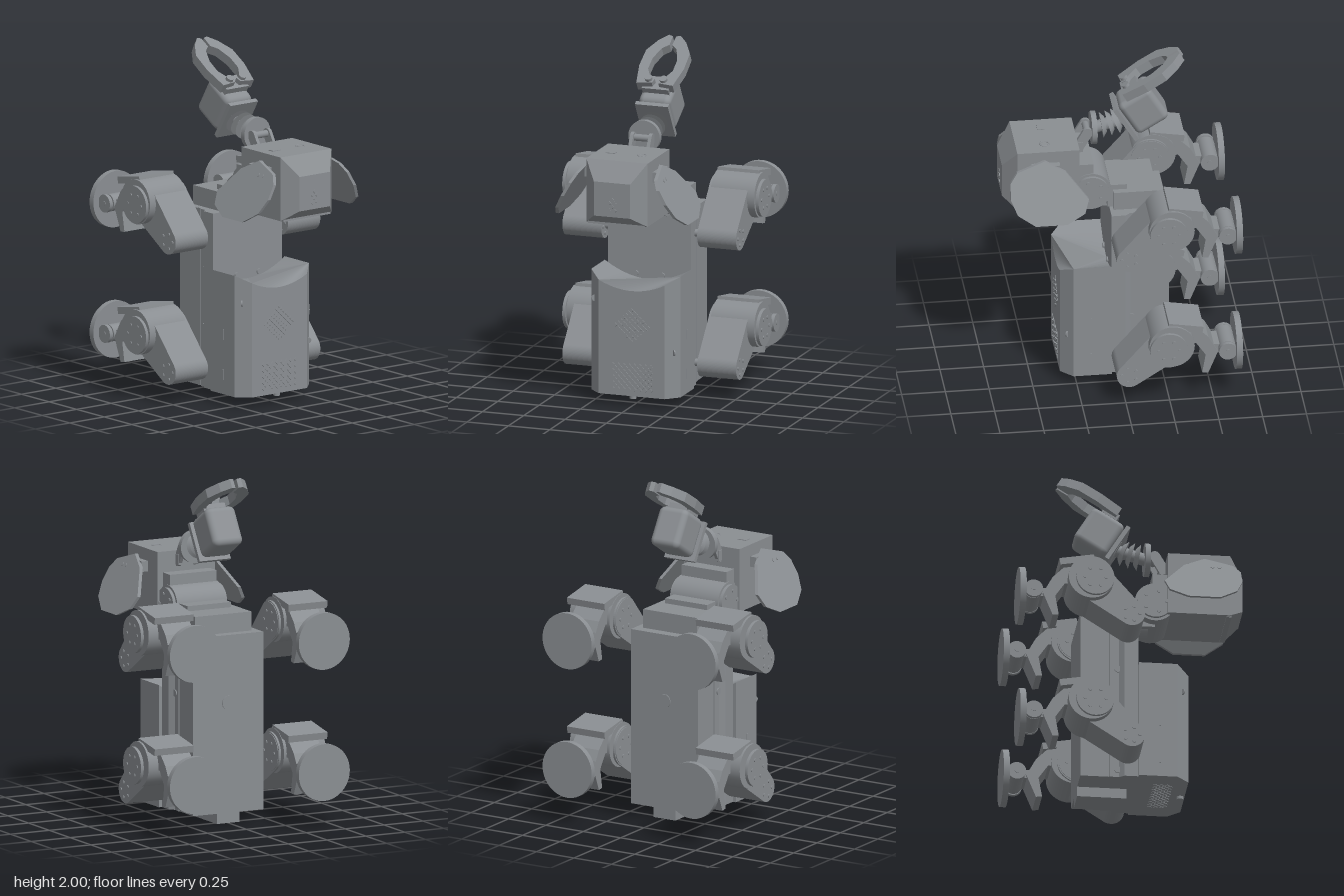
import * as THREE from 'three';
import { mergeGeometries } from 'three/addons/utils/BufferGeometryUtils.js';
import { RoundedBoxGeometry } from 'three/addons/geometries/RoundedBoxGeometry.js';
import { ConvexGeometry } from 'three/addons/geometries/ConvexGeometry.js';

const grey = new THREE.MeshStandardMaterial({ color: 0x8a8e92 });
grey.name = 'grey';

function add(parent, name, geometry, x = 0, y = 0, z = 0) {
  const mesh = new THREE.Mesh(geometry, grey);
  mesh.name = name;
  mesh.position.set(x, y, z);
  parent.add(mesh);
  return mesh;
}
function group(parent, name) {
  const g = new THREE.Group();
  g.name = name;
  parent.add(g);
  return g;
}
const box = (w, h, d) => new THREE.BoxGeometry(w, h, d);
const cylX = (r, w, n = 32) => new THREE.CylinderGeometry(r, r, w, n).rotateZ(Math.PI / 2);
const cylY = (r, w, n = 32) => new THREE.CylinderGeometry(r, r, w, n);
const cylZ = (r, w, n = 32) => new THREE.CylinderGeometry(r, r, w, n).rotateX(Math.PI / 2);
const outline = pts => new THREE.Shape(pts.map(p => new THREE.Vector2(p[0], p[1])));
const extrude = (shape, depth) =>
  new THREE.ExtrudeGeometry(shape, { depth, bevelEnabled: false, curveSegments: 16 });

// Side profile in (z, y), extruded over x0..x1
const sideways = (shape, x0, x1) => extrude(shape, x1 - x0).rotateY(-Math.PI / 2).translate(x1, 0, 0);
// Plan outline in (x, -z), extruded upwards from y0
const upright = (shape, y0, h) => extrude(shape, h).rotateX(-Math.PI / 2).translate(0, y0, 0);

// Rounded link around two circles
function link([ax, ay], r1, [bx, by], r2) {
  const a = Math.atan2(by - ay, bx - ax);
  const b = Math.acos((r1 - r2) / Math.hypot(bx - ax, by - ay));
  return new THREE.Shape()
    .absarc(ax, ay, r1, a + b, a - b + 2 * Math.PI, false)
    .absarc(bx, by, r2, a - b, a + b, false);
}
// Patch of small diamond plates facing +z
function diamonds(cells, s = 0.017) {
  return mergeGeometries(cells.map(([x, y]) =>
    box(s, s, 0.006).rotateZ(Math.PI / 4).translate(x, y, 0)));
}

function makeBody(root) {
  const g = group(root, 'body');
  const half = [[0.25, -0.05], [0.25, 0.03], [0.225, 0.06], [0.225, 0.28]];
  const mirror = half.map(([x, y]) => [-x, y]).reverse();
  add(g, 'torso', upright(outline([...half, ...mirror]), 0.065, 1.025));
  for (const s of [-1, 1]) {
    add(g, 'sideGroove', box(0.008, 1.03, 0.02), s * 0.226, 0.58, -0.105);
    for (const y of [0.11, 0.41, 0.74]) add(g, 'sideStud', cylX(0.02, 0.008, 16), s * 0.227, y, -0.065);
  }

  // Chest shell with chamfered corners and a scooped upper edge
  const n = 14, pts = [];
  for (let i = 0; i <= n; i++) pts.push([-0.2 + 0.4 * i / n, -0.34]);
  pts.push([0.27, -0.27]);
  for (let i = 0; i <= n; i++) pts.push([0.27 - 0.54 * i / n, -0.05]);
  pts.push([-0.27, -0.27]);
  const shell = upright(outline(pts), 0.065, 0.705);
  const p = shell.attributes.position;
  for (let i = 0; i < p.count; i++) {
    if (p.getY(i) > 0.5) p.setY(i, 0.68 + 0.09 * (p.getX(i) / 0.27) ** 2);
  }
  shell.computeVertexNormals();
  add(g, 'chestShell', shell);
  for (const s of [-1, 1]) {
    add(g, 'shellBolt', cylZ(0.015, 0.02, 16), s * 0.08, 0.71, 0.05);
    for (const y of [0.18, 0.41]) add(g, 'sideSlot', box(0.008, 0.06, 0.008), s * 0.27, y, 0.17);
    add(g, 'shellScrew', cylX(0.018, 0.008, 16), s * 0.24, s < 0 ? 0.61 : 0.33, 0.30).rotation.y = s * 0.78;
  }

  // Speaker patches
  const lozenge = [], grille = [], under = [];
  for (let i = -3; i <= 3; i++) for (let j = -3; j <= 3; j++)
    lozenge.push([(i - j) * 0.0165, (i + j) * 0.0155]);
  for (let r = 0; r < 9; r++) for (let c = 0; c < 8 - r % 2; c++)
    grille.push([(c - (7 - r % 2) / 2) * 0.033, (r - 4) * 0.0175]);
  for (let r = 0; r < 6; r++) for (let c = 0; c < 10 - r % 2; c++)
    under.push([(c - (9 - r % 2) / 2) * 0.033, (r - 2.5) * 0.0175]);
  add(g, 'upperGrille', diamonds(lozenge), 0, 0.475, 0.341);
  add(g, 'lowerGrille', diamonds(grille), 0, 0.175, 0.341);
  add(g, 'bottomGrille', diamonds(under).rotateX(Math.PI / 2), 0, 0.064, 0.2);
  add(g, 'bottomStud', cylY(0.02, 0.02, 16), 0, 0.057, 0.315);
  add(g, 'tailBlock', box(0.145, 0.06, 0.28), 0, 0.036, -0.14);
  add(g, 'backButton', cylZ(0.04, 0.008), 0, 0.7, -0.281);

  // Shoulder steps
  add(g, 'shoulderStep', box(0.36, 0.11, 0.25), 0, 1.145, -0.095);
  add(g, 'shoulderBlock', box(0.28, 0.14, 0.11), 0, 1.16, 0.005);
}

function makeHead(root) {
  const g = group(root, 'head');
  // Neck barrel between body and head
  add(g, 'neckBlock', box(0.2, 0.13, 0.14), 0, 1.14, 0.09);
  add(g, 'neckKeel', cylZ(0.08, 0.09), 0, 1.12, 0.08);
  add(g, 'neckBarrel', cylX(0.115, 0.31), 0, 1.205, 0.155);
  for (const s of [-1, 1]) {
    add(g, 'neckDisc', cylX(0.1, 0.02), s * 0.163, 1.205, 0.155);
    for (let i = 0; i < 5; i++) {
      const a = i * Math.PI * 0.4;
      add(g, 'neckBolt', cylX(0.011, 0.012, 12), s * 0.173, 1.205 + 0.065 * Math.sin(a), 0.155 + 0.065 * Math.cos(a));
    }
  }
  add(g, 'neckBridge', box(0.3, 0.2, 0.12), 0, 1.28, 0.2);

  const pts = [];
  for (const s of [-1, 1]) for (const [x, y, z] of [
    [0.185, 1.5, 0.225], [0.185, 1.13, 0.225], [0.185, 1.5, 0.58], [0.185, 1.13, 0.58],
    [0.11, 1.39, 0.66], [0.11, 1.19, 0.66]]) pts.push(new THREE.Vector3(s * x, y, z));
  add(g, 'skull', new ConvexGeometry(pts));
  add(g, 'chinPlate', box(0.34, 0.05, 0.03), 0, 1.15, 0.575);
  add(g, 'faceMark', diamonds([[0, 0.032], [-0.016, 0.011], [0.016, 0.011], [0, -0.01],
    [-0.016, -0.031], [0.016, -0.031]]), 0, 1.26, 0.661);
  add(g, 'crownPanel', box(0.055, 0.006, 0.04), -0.095, 1.501, 0.415);
  add(g, 'crownRing', new THREE.TorusGeometry(0.025, 0.004, 8, 28).rotateX(Math.PI / 2), 0.09, 1.5, 0.415);

  // Sloping faceted ears
  const earShape = outline([[0.63, 1.36], [0.59, 1.41], [0.43, 1.46], [0.31, 1.4], [0.19, 1.26],
    [0.215, 1.19], [0.32, 1.14], [0.5, 1.14], [0.6, 1.2], [0.635, 1.28]]);
  for (const s of [-1, 1]) {
    const ear = sideways(earShape, -0.02, 0);
    const p = ear.attributes.position;
    for (let i = 0; i < p.count; i++) p.setX(i, p.getX(i) - 0.2 - (1.46 - p.getY(i)) * 0.56);
    ear.computeVertexNormals();
    const e = group(g, s < 0 ? 'rightEar' : 'leftEar');
    e.scale.x = -s;
    if (s < 0) e.scale.x = 1; else e.scale.x = -1;
    add(e, 'earPlate', ear);
    add(e, 'earHinge', box(0.05, 0.06, 0.16), -0.2, 1.4, 0.42);
    for (const z of [0.47, 0.51]) add(e, 'earStud', cylX(0.011, 0.012, 12), -0.256, 1.39, z).rotation.z = -0.51;
  }
}

function makeLeg(root, name, s, dy) {
  const g = group(root, name);
  g.scale.x = s;
  g.position.y = dy;
  const hip = [-0.02, 0.955], knee = [-0.235, 1.14], cx = 0.41;
  add(g, 'hipPin', cylX(0.022, 0.1, 16), 0.26, 0.955, -0.03);
  add(g, 'thigh', sideways(link(hip, 0.075, knee, 0.115), 0.29, 0.525));
  add(g, 'kneeHousing', cylX(0.13, 0.265, 40), 0.435, 1.15, -0.255);
  for (const x of [0.295, 0.585]) {
    add(g, 'kneeDisc', cylX(0.108, 0.018), x, knee[1], knee[0]);
    for (let i = 0; i < 6; i++) {
      const a = i * Math.PI / 3, d = x < cx ? -0.01 : 0.01;
      add(g, 'kneeBolt', cylX(0.01, 0.008, 12), x + d, knee[1] + 0.06 * Math.sin(a), knee[0] + 0.06 * Math.cos(a));
    }
  }
  for (const x of [0.288, 0.527]) for (let i = 0; i < 5; i++) {
    const a = i * Math.PI * 0.4;
    add(g, 'hipBolt', cylX(0.01, 0.008, 12), x, hip[1] + 0.045 * Math.sin(a), hip[0] + 0.045 * Math.cos(a));
  }
  add(g, 'kneeCover', box(0.25, 0.04, 0.2), 0.43, 1.26, -0.335).rotation.x = -0.17;

  // Lower leg with pointed heel
  const shin = outline([[-0.25, 1.24], [-0.4, 1.235], [-0.47, 1.165], [-0.525, 1.065], [-0.47, 0.93],
    [-0.435, 0.935], [-0.455, 1.05], [-0.4, 1.13], [-0.28, 1.12]].reverse());
  add(g, 'shin', sideways(shin, 0.32, 0.505));
  add(g, 'ankle', cylX(0.05, 0.19), cx, 1.078, -0.58);
  add(g, 'ankleLink', box(0.15, 0.05, 0.14), cx, 1.078, -0.56);
  for (const x of [0.305, 0.525]) {
    add(g, 'ankleDisc', cylX(0.052, 0.022), x, 1.078, -0.58);
    add(g, 'ankleBolt', cylX(0.014, 0.028, 12), x, 1.078, -0.58);
  }
  add(g, 'foot', cylZ(0.164, 0.035, 48), 0.414, 1.08, -0.643);
}

function makeArm(root) {
  const g = group(root, 'arm');
  // Fork and turntable behind the head
  for (const s of [-1, 1])
    add(g, 'forkPlate', sideways(link([0.22, 1.44], 0.03, [0.165, 1.535], 0.03), s * 0.055 - 0.01, s * 0.055 + 0.01));
  add(g, 'forkAxle', cylX(0.02, 0.13, 16), 0, 1.535, 0.165);
  add(g, 'forkBase', box(0.14, 0.06, 0.06), 0, 1.45, 0.22);
  add(g, 'turntable', cylZ(0.095, 0.03, 40), 0, 1.535, 0.125);

  // Ribbed neck of the gripper
  const start = new THREE.Vector3(0, 1.535, 0.12), end = new THREE.Vector3(0, 1.59, -0.07);
  const core = new THREE.TubeGeometry(new THREE.LineCurve3(start, end), 1, 0.035, 16);
  add(g, 'ribCore', core);
  for (let i = 0; i < 4; i++) {
    const c = start.clone().lerp(end, 0.28 + i * 0.21);
    const rib = add(g, 'rib', new THREE.CylinderGeometry(0.075, 0.045, 0.025, 28).rotateX(Math.PI / 2), c.x, c.y, c.z);
    rib.rotation.x = 0.15 + i * 0.12;
  }

  // Gripper: local -z runs along the claws
  const grip = group(g, 'gripper');
  grip.position.set(0, 1.755, -0.058);
  grip.rotation.x = 0.55;
  add(grip, 'gripperBody', new RoundedBoxGeometry(0.19, 0.235, 0.215, 3, 0.035), 0, -0.127, -0.035);
  add(grip, 'gripperFlange', box(0.2, 0.24, 0.025), 0, -0.135, 0.09);
  add(grip, 'gripperBase', box(0.16, 0.04, 0.1), 0, 0.005, -0.04);
  const claw = outline([[0.02, 0.01], [0.11, 0], [0.135, 0.138], [0.132, 0.261], [0.085, 0.343],
    [0.035, 0.393], [0.01, 0.385], [0.008, 0.315], [0.045, 0.283], [0.074, 0.2], [0.075, 0.117],
    [0.045, 0.06], [0.01, 0.04]]);
  for (const s of [-1, 1]) {
    const c = group(grip, s < 0 ? 'rightClaw' : 'leftClaw');
    c.scale.x = s;
    add(c, 'claw', upright(claw, 0, 0.055));
    add(c, 'clawBolt', cylY(0.022, 0.025, 20), 0.045, 0.06, -0.035);
  }
}

export function createModel() {
  const root = new THREE.Group();
  root.name = 'quadrupedRobot';
  makeBody(root);
  makeHead(root);
  makeArm(root);
  for (const [side, s] of [['Left', 1], ['Right', -1]]) {
    makeLeg(root, 'front' + side + 'Leg', s, 0);
    makeLeg(root, 'rear' + side + 'Leg', s, -0.757);
  }
  return root;
}
